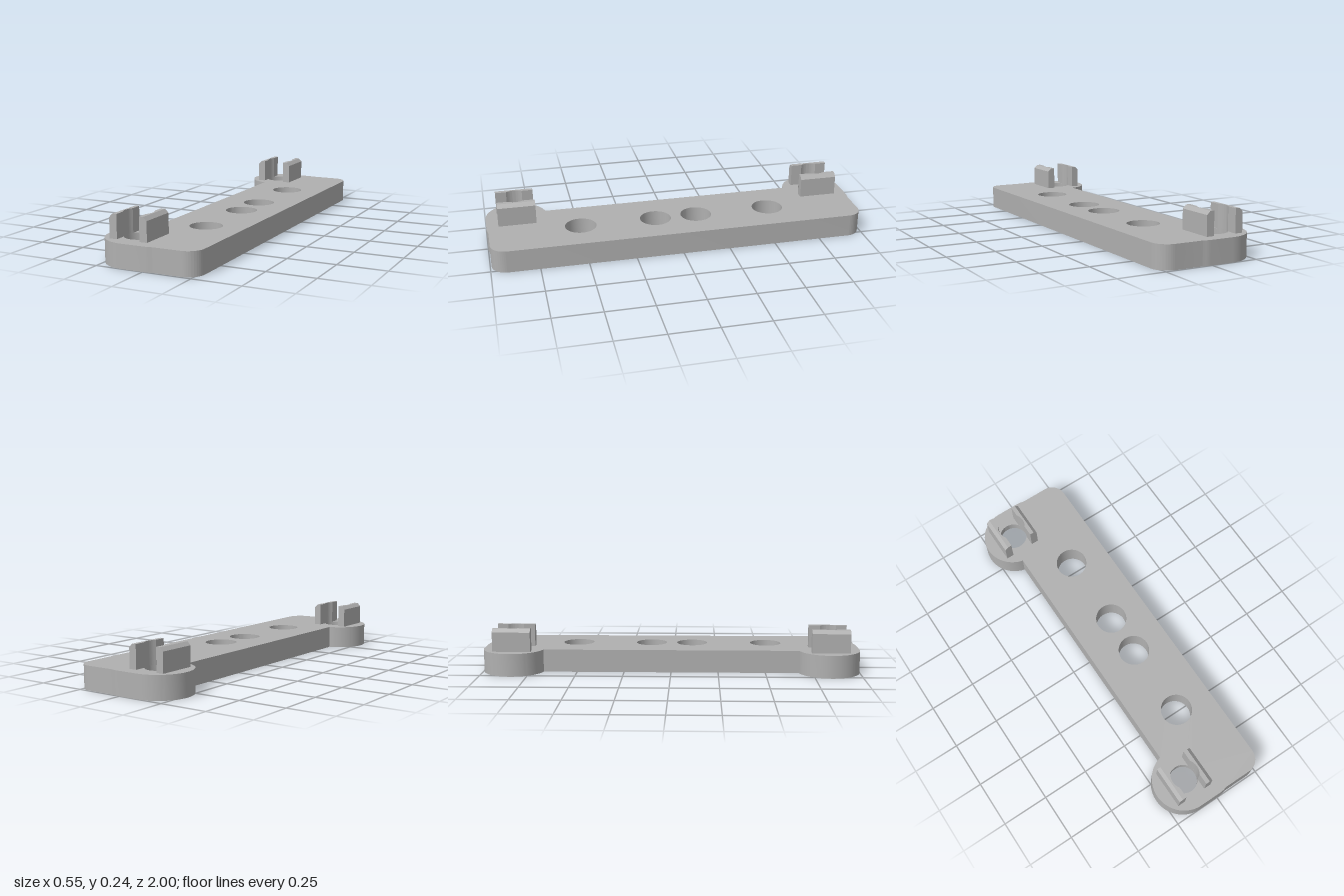
import * as THREE from 'three';
import { toCreasedNormals } from 'three/addons/utils/BufferGeometryUtils.js';

const H = 0.12;                         // plate thickness
const BX = -0.112, BZ = 0.837, BR = 0.163; // boss centre and radius
const BORE = 0.074, SINK = 0.15;        // screw bore and countersink radii
const EDGE = -0.148, RIGHT = 0.275, END = 0.993, CORNER = 0.08;
const SEG = 24;

const circle = (x, y, r) => new THREE.Path().absarc(x, y, r, 0, Math.PI * 2, true);

// Plate outline: bar with a round boss at each end of one edge
function outline(bossHole) {
  const s = new THREE.Shape();
  const a = Math.acos((EDGE - BX) / BR); // angle where the boss meets the bar
  s.moveTo(RIGHT, -END + CORNER);
  s.lineTo(RIGHT, END - CORNER);
  s.absarc(RIGHT - CORNER, END - CORNER, CORNER, 0, Math.PI / 2, false);
  s.lineTo(0.06, END);
  s.bezierCurveTo(0.045, END, 0.03, 1, 0.01, 1);
  s.absarc(BX, BZ, BR, Math.PI / 2, Math.PI * 2 - a, false);
  s.absarc(BX, -BZ, BR, a, Math.PI * 1.5, false);
  s.lineTo(0.01, -1);
  s.bezierCurveTo(0.03, -1, 0.045, -END, 0.06, -END);
  s.absarc(RIGHT - CORNER, -END + CORNER, CORNER, -Math.PI / 2, 0, false);
  for (const z of [-0.513, -0.111, 0.111, 0.513]) s.holes.push(circle(0.072, z, 0.083));
  if (bossHole) for (const z of [-BZ, BZ]) s.holes.push(circle(BX, z, bossHole));
  return s;
}

// Side walls only, taken from an extrusion without its caps
function wallGeometry(shape, depth) {
  const full = new THREE.ExtrudeGeometry(shape, { depth, bevelEnabled: false, curveSegments: SEG });
  const side = full.groups[1];
  const g = new THREE.BufferGeometry();
  const pos = full.attributes.position.array.slice(side.start * 3, (side.start + side.count) * 3);
  g.setAttribute('position', new THREE.BufferAttribute(pos, 3));
  return toCreasedNormals(g, 0.5);
}

export function createModel() {
  const model = new THREE.Group();
  model.name = 'mountingPlate';
  const grey = new THREE.MeshStandardMaterial({ color: 0xb0b0b0 });
  grey.name = 'grey';
  const add = (parent, name, geometry) => {
    const m = new THREE.Mesh(geometry, grey);
    m.name = name;
    parent.add(m);
    return m;
  };

  // Plate: top face, bottom face and walls
  add(model, 'plateTop', new THREE.ShapeGeometry(outline(BORE), SEG).rotateX(-Math.PI / 2).translate(0, H, 0));
  add(model, 'plateBottom', new THREE.ShapeGeometry(outline(SINK), SEG).rotateX(Math.PI / 2));
  add(model, 'plateWalls', wallGeometry(outline(0), H).rotateX(-Math.PI / 2));

  // Bore that opens into a conical countersink below
  const sinkProfile = [[BORE, H], [BORE, SINK - BORE], [SINK, 0]].map(p => new THREE.Vector2(...p));
  const sink = toCreasedNormals(new THREE.LatheGeometry(sinkProfile, SEG * 2), 0.5);

  // Clip prong: inner half follows the bore, outer half has a chamfered top
  const half = 0.1, inner = 0.061, mid = 0.083, outer = 0.101, tall = 0.12;
  const t = Math.acos(inner / BORE);
  const plan = new THREE.Shape();
  plan.moveTo(inner, -half);
  plan.lineTo(mid, -half);
  plan.lineTo(mid, half);
  plan.lineTo(inner, half);
  plan.absarc(0, 0, BORE, t, -t, true);
  const grooved = toCreasedNormals(
    new THREE.ExtrudeGeometry(plan, { depth: tall, bevelEnabled: false, curveSegments: 12 }), 0.5
  ).rotateX(-Math.PI / 2);
  const profile = new THREE.Shape([
    [mid, 0], [outer, 0], [outer, tall - 0.018], [mid, tall],
  ].map(p => new THREE.Vector2(...p)));
  const chamfered = new THREE.ExtrudeGeometry(profile, { depth: half * 2, bevelEnabled: false })
    .translate(0, 0, -half);

  for (const z of [-BZ, BZ]) {
    const mount = new THREE.Group();
    mount.name = z < 0 ? 'backMount' : 'frontMount';
    mount.position.set(BX, 0, z);
    add(mount, 'countersunkBore', sink);
    for (const turn of [0, Math.PI]) {
      const prong = new THREE.Group();
      prong.name = turn ? 'rightProng' : 'leftProng';
      prong.position.y = H;
      prong.rotation.y = turn;
      add(prong, 'prongInner', grooved);
      add(prong, 'prongOuter', chamfered);
      mount.add(prong);
    }
    model.add(mount);
  }
  return model;
}
